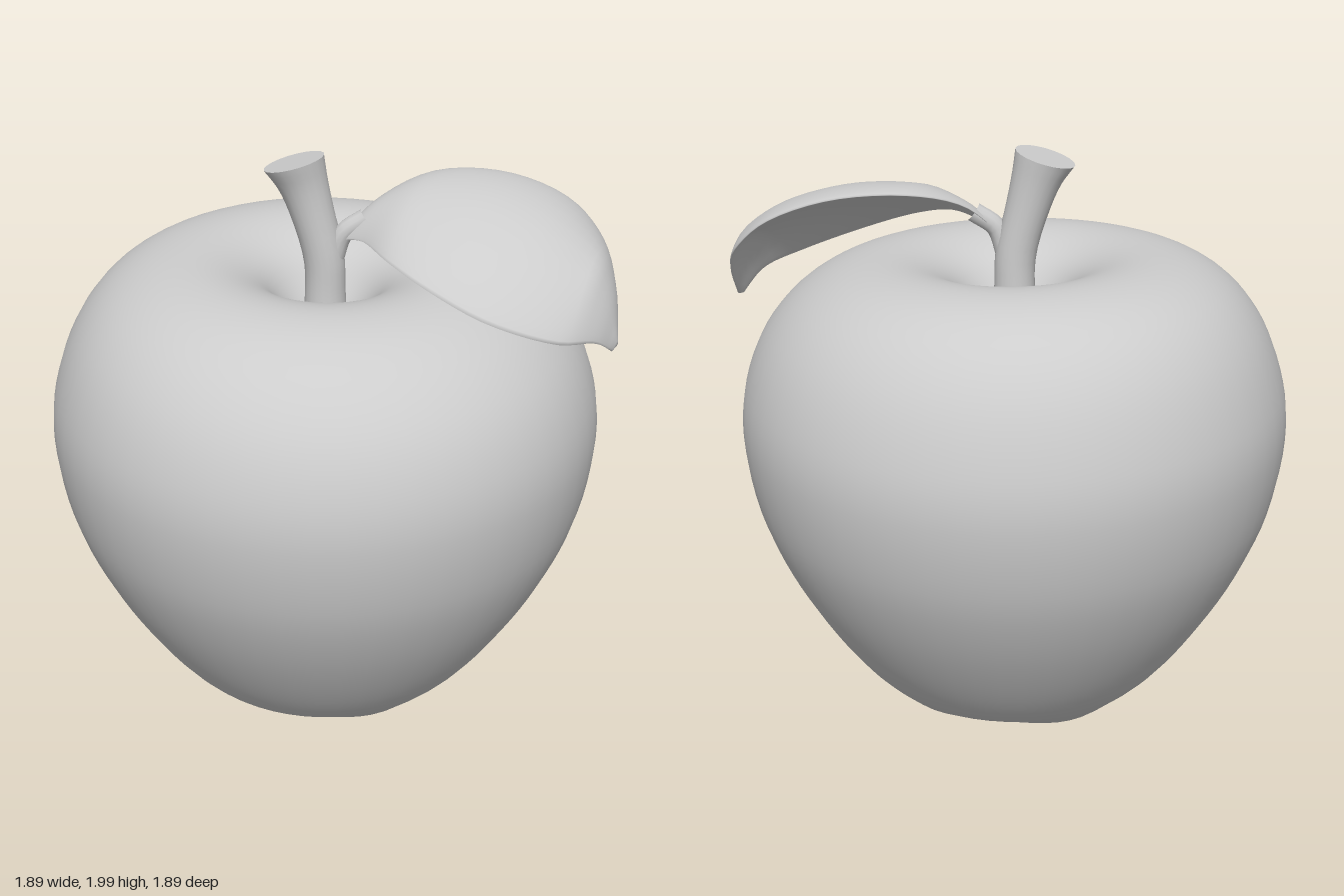
import * as THREE from 'three';

const V = (x, y, z) => new THREE.Vector3(x, y, z);
const curve = (pts) => new THREE.CatmullRomCurve3(pts.map((p) => V(...p)), false, 'centripetal');
const { smoothstep } = THREE.MathUtils;

// Skins a list of closed cross-sections (each an array of Vector3) into a smooth surface.
function loft(rings) {
  const n = rings[0].length;
  const index = [];
  for (let j = 0; j < rings.length - 1; j++) {
    for (let i = 0; i < n; i++) {
      const a = j * n + i, b = j * n + ((i + 1) % n);
      index.push(a, b, a + n, b, b + n, a + n);
    }
  }
  const geometry = new THREE.BufferGeometry().setFromPoints(rings.flat());
  geometry.setIndex(index);
  geometry.computeVertexNormals();
  return geometry;
}

// Makes one ring by calling fn(cos, sin, angle) around a full turn.
const ring = (n, fn) => Array.from({ length: n }, (_, i) => {
  const a = (i / n) * Math.PI * 2;
  return fn(Math.cos(a), Math.sin(a), a);
});

// Fruit: turned profile with four lobes underneath and a slightly tilted top.
function bodyGeometry() {
  const profile = curve([
    [0, 0.2, 0], [0.1, 0.16, 0], [0.2, 0.07, 0], [0.27, 0.02, 0], [0.34, 0.005, 0],
    [0.4, 0.022, 0], [0.47, 0.08, 0], [0.575, 0.185, 0], [0.705, 0.365, 0], [0.825, 0.58, 0],
    [0.905, 0.79, 0], [0.943, 1.03, 0], [0.928, 1.2, 0], [0.86, 1.385, 0], [0.755, 1.52, 0],
    [0.62, 1.605, 0], [0.47, 1.638, 0], [0.34, 1.622, 0], [0.22, 1.56, 0], [0.13, 1.45, 0],
    [0.07, 1.37, 0], [0, 1.34, 0],
  ]).getPoints(84);
  return loft(profile.map((p) => ring(56, (c, s, a) => {
    const r = Math.max(p.x, 0), z = -r * s;
    const under = smoothstep(r, 0.1, 0.3) * (1 - smoothstep(p.y, 0.02, 0.12));
    const lobes = 0.03 * under * (1 - Math.cos(4 * a)) / 2;
    const tilt = 0.035 * z * smoothstep(p.y, 1.2, 1.6);
    return V(r * c, p.y + lobes - tilt, z);
  })));
}

// Stem: leaning tube that flares to a tilted flat end.
function stemGeometry() {
  const path = curve([[0, 1.3, 0], [0, 1.5, 0], [-0.005, 1.64, 0], [-0.038, 1.8, -0.022],
    [-0.064, 1.9, -0.038], [-0.09, 1.972, -0.05]]);
  const radius = curve([[0, 0.085, 0], [0.3, 0.07, 0], [0.5, 0.069, 0], [0.75, 0.073, 0],
    [0.9, 0.083, 0], [1, 0.1, 0]]);
  const section = (t, scale = 1) => {
    const c = path.getPoint(t), r = radius.getPoint(t).y * scale;
    return ring(20, (x, s) => V(c.x + r * x, c.y + 0.2 * t * r * (x - s), c.z - r * s));
  };
  const rings = Array.from({ length: 17 }, (_, i) => section(i / 16));
  return loft([...rings, section(1), section(1, 0)]);
}

// Leaf: two edge curves joined by thin cross-sections that arch more towards the tip.
function leafGeometry() {
  const rightEdge = curve([[0.045, 1.72, 0.03], [0.18, 1.825, 0.04], [0.4, 1.89, 0.055], [0.62, 1.88, 0.17],
    [0.78, 1.8, 0.31], [0.832, 1.69, 0.43], [0.775, 1.57, 0.59], [0.695, 1.44, 0.715]]);
  const leftEdge = curve([[0.03, 1.71, 0.045], [0.05, 1.735, 0.15], [0.042, 1.725, 0.33], [0.085, 1.68, 0.5],
    [0.2, 1.605, 0.67], [0.4, 1.53, 0.775], [0.56, 1.495, 0.765], [0.66, 1.435, 0.735]]);
  const up = V(0.25, 1, 0.3).normalize();
  const section = (t, scale = 1) => {
    const R = rightEdge.getPoint(t), L = leftEdge.getPoint(t);
    const mid = R.clone().add(L).multiplyScalar(0.5);
    const arch = 0.045 + 0.06 * smoothstep(t, 0.2, 0.7);
    const dome = arch * Math.min(1, R.distanceTo(L) / 0.45);
    return ring(28, (c, s) => {
      const p = L.clone().lerp(R, (1 + c) / 2);
      p.y += dome * (1 - c * c);
      p.addScaledVector(up, 0.016 * s);
      return mid.clone().lerp(p, scale);
    });
  };
  const rings = Array.from({ length: 33 }, (_, i) => section(i / 32));
  return loft([section(0, 0), ...rings, section(1, 0)]);
}

// Leaf stalk: short tube from the stem to the base of the leaf.
function stalkGeometry() {
  const path = curve([[0, 1.54, 0.01], [0.02, 1.64, 0.025], [0.045, 1.73, 0.045], [0.11, 1.785, 0.085]]);
  return new THREE.TubeGeometry(path, 12, 0.034, 12);
}

export function createModel() {
  const grey = new THREE.MeshStandardMaterial({ color: 0xcccccc });
  grey.name = 'light grey';
  const group = new THREE.Group();
  group.name = 'apple';
  const parts = {
    fruit: bodyGeometry(), stem: stemGeometry(), leaf: leafGeometry(), leafStalk: stalkGeometry(),
  };
  for (const [name, geometry] of Object.entries(parts)) {
    const mesh = new THREE.Mesh(geometry, grey);
    mesh.name = name;
    group.add(mesh);
  }
  return group;
}
